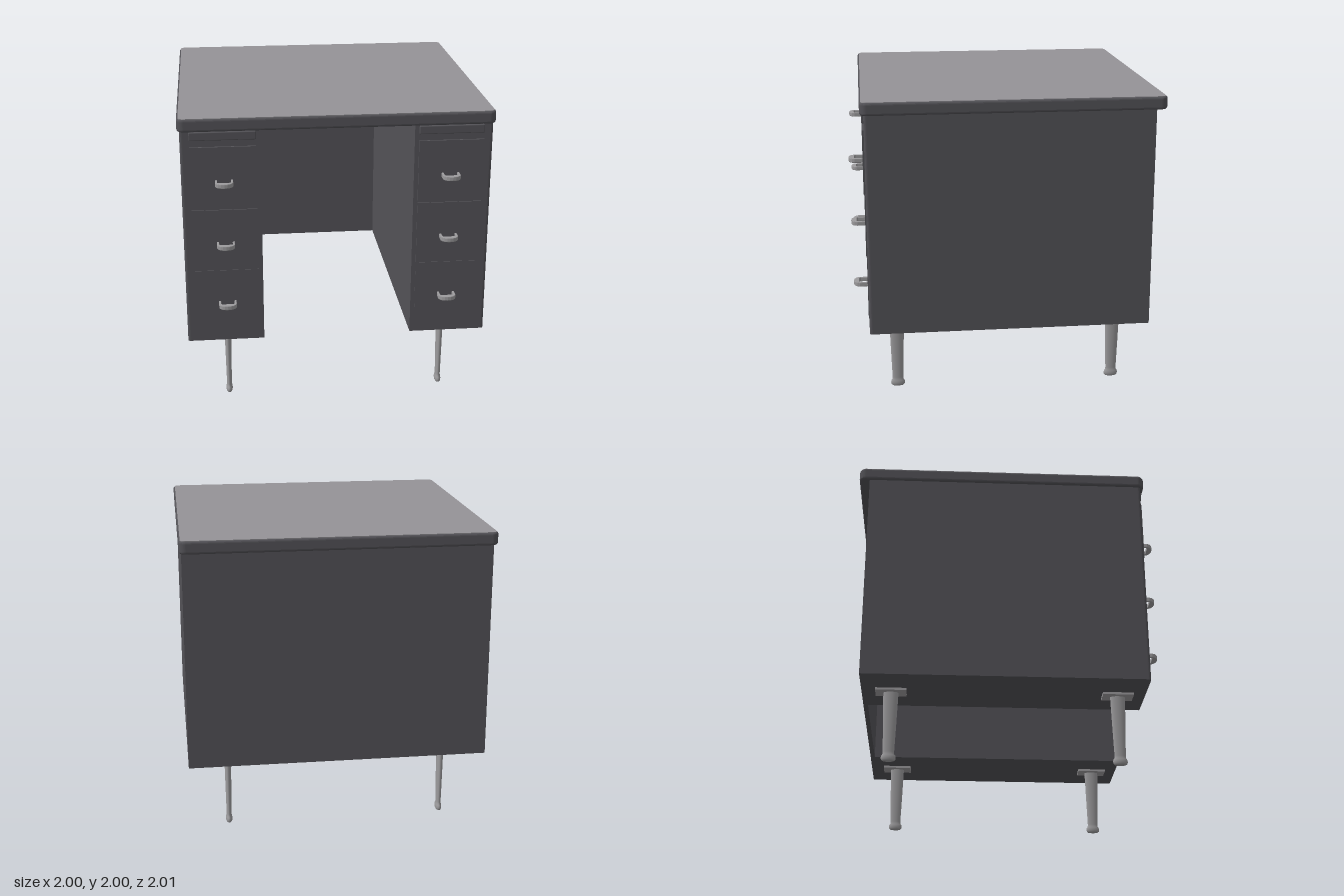
import * as THREE from 'three';
import { RoundedBoxGeometry } from 'three/addons/geometries/RoundedBoxGeometry.js';

const paint = new THREE.MeshStandardMaterial({ color: 0x535257 });
paint.name = 'darkGreyPaint';
const laminate = new THREE.MeshStandardMaterial({ color: 0x959397 });
laminate.name = 'lightGreyLaminate';
const metal = new THREE.MeshStandardMaterial({ color: 0x9c9b9d });
metal.name = 'brushedMetal';

function add(parent, name, geometry, material, x = 0, y = 0, z = 0) {
  const mesh = new THREE.Mesh(geometry, material);
  mesh.name = name;
  mesh.position.set(x, y, z);
  parent.add(mesh);
  return mesh;
}

const box = (w, h, d) => new THREE.BoxGeometry(w, h, d);

// Plan outline with rounded corners, centred on the origin
function roundedRect(w, d, r) {
  const s = new THREE.Shape();
  const x = w / 2, y = d / 2;
  s.absarc(x - r, y - r, r, 0, Math.PI / 2);
  s.absarc(-x + r, y - r, r, Math.PI / 2, Math.PI);
  s.absarc(-x + r, -y + r, r, Math.PI, Math.PI * 1.5);
  s.absarc(x - r, -y + r, r, Math.PI * 1.5, Math.PI * 2);
  s.closePath();
  return s;
}

// Extrude a plan outline (x, -z) upwards
function extrudeUp(shape, depth, options = {}) {
  return new THREE.ExtrudeGeometry(shape, {
    depth, bevelEnabled: false, curveSegments: 8, ...options,
  }).rotateX(-Math.PI / 2);
}

// Pedestal plan: the outer front edge is softly rounded
function pedestalGeometry(side) {
  const inner = 0.485, outer = 0.985, front = -0.905, back = 0.93, r = 0.02;
  const s = new THREE.Shape();
  s.moveTo(side * inner, front);
  s.lineTo(side * (outer - r), front);
  s.quadraticCurveTo(side * outer, front, side * outer, front + r);
  s.lineTo(side * outer, back);
  s.lineTo(side * inner, back);
  s.closePath();
  return extrudeUp(s, 1.437);
}

// Pull: a D-shaped loop with a filled grip at the front
function handleGeometry() {
  const s = new THREE.Shape();
  s.moveTo(-0.055, 0);
  s.lineTo(-0.055, -0.05);
  s.bezierCurveTo(-0.05, -0.1, 0.05, -0.1, 0.055, -0.05);
  s.lineTo(0.055, 0);
  s.lineTo(0.045, 0);
  s.lineTo(0.045, -0.045);
  s.quadraticCurveTo(0.04, -0.055, 0.03, -0.055);
  s.lineTo(-0.03, -0.055);
  s.quadraticCurveTo(-0.04, -0.055, -0.045, -0.045);
  s.lineTo(-0.045, 0);
  s.closePath();
  return extrudeUp(s, 0.018, {
    bevelEnabled: true, bevelThickness: 0.005, bevelSize: 0.002, bevelSegments: 2,
  }).translate(0, -0.009, 0);
}

// Tapered leg with a rounded foot, flattened to an oval
function legGeometry() {
  const profile = [
    [0, 0], [0.036, 0], [0.045, 0.008], [0.047, 0.022], [0.044, 0.036],
    [0.037, 0.045], [0.036, 0.06], [0.043, 0.27], [0.049, 0.47],
  ].map(([r, y]) => new THREE.Vector2(r, y));
  return new THREE.LatheGeometry(profile, 24).scale(0.46, 1, 1);
}

export function createModel() {
  const desk = new THREE.Group();
  desk.name = 'desk';

  // Desktop slab with softened edges and a light work surface
  const bevel = 0.016;
  const slab = extrudeUp(roundedRect(2 - 2 * bevel, 1.93 - 2 * bevel, 0.03), 0.083 - 2 * bevel, {
    bevelEnabled: true, bevelThickness: bevel, bevelSize: bevel, bevelSegments: 4,
  });
  add(desk, 'desktopEdge', slab, paint, 0, 1.915 + bevel, -0.035);
  add(desk, 'desktopSurface', extrudeUp(roundedRect(1.98, 1.91, 0.035), 0.004), laminate, 0, 1.996, -0.035);

  // Panel closing the back of the knee space
  add(desk, 'backPanel', box(0.98, 1.437, 0.03), paint, 0, 1.1985, -0.915);

  const handle = handleGeometry();
  const leg = legGeometry();
  const levels = [0.773, 1.19, 1.608];

  for (const side of [-1, 1]) {
    const pedestal = new THREE.Group();
    pedestal.name = side > 0 ? 'leftPedestal' : 'rightPedestal';
    desk.add(pedestal);
    add(pedestal, 'cabinet', pedestalGeometry(side), paint, 0, 0.48, 0);

    // Pull-out writing board above the drawers
    add(pedestal, 'slideBoard', new RoundedBoxGeometry(0.415, 0.054, 0.04, 2, 0.006), paint, side * 0.72, 1.884, 0.899);

    // Three stacked drawers, each slightly prouder than the one below
    levels.forEach((y, i) => {
      const face = 0.909 + i * 0.004;
      add(pedestal, 'drawerFront', box(0.415, 0.411, 0.03), paint, side * 0.72, y, face - 0.015);
      add(pedestal, 'drawerHandle', handle, metal, side * 0.718, y - 0.024, face);
    });

    // Legs on mounting plates
    for (const z of [0.725, -0.74]) {
      add(pedestal, 'legPlate', box(0.105, 0.015, 0.2), metal, side * 0.723, 0.4725, z);
      add(pedestal, 'leg', leg, metal, side * 0.723, 0, z);
    }
  }
  return desk;
}
